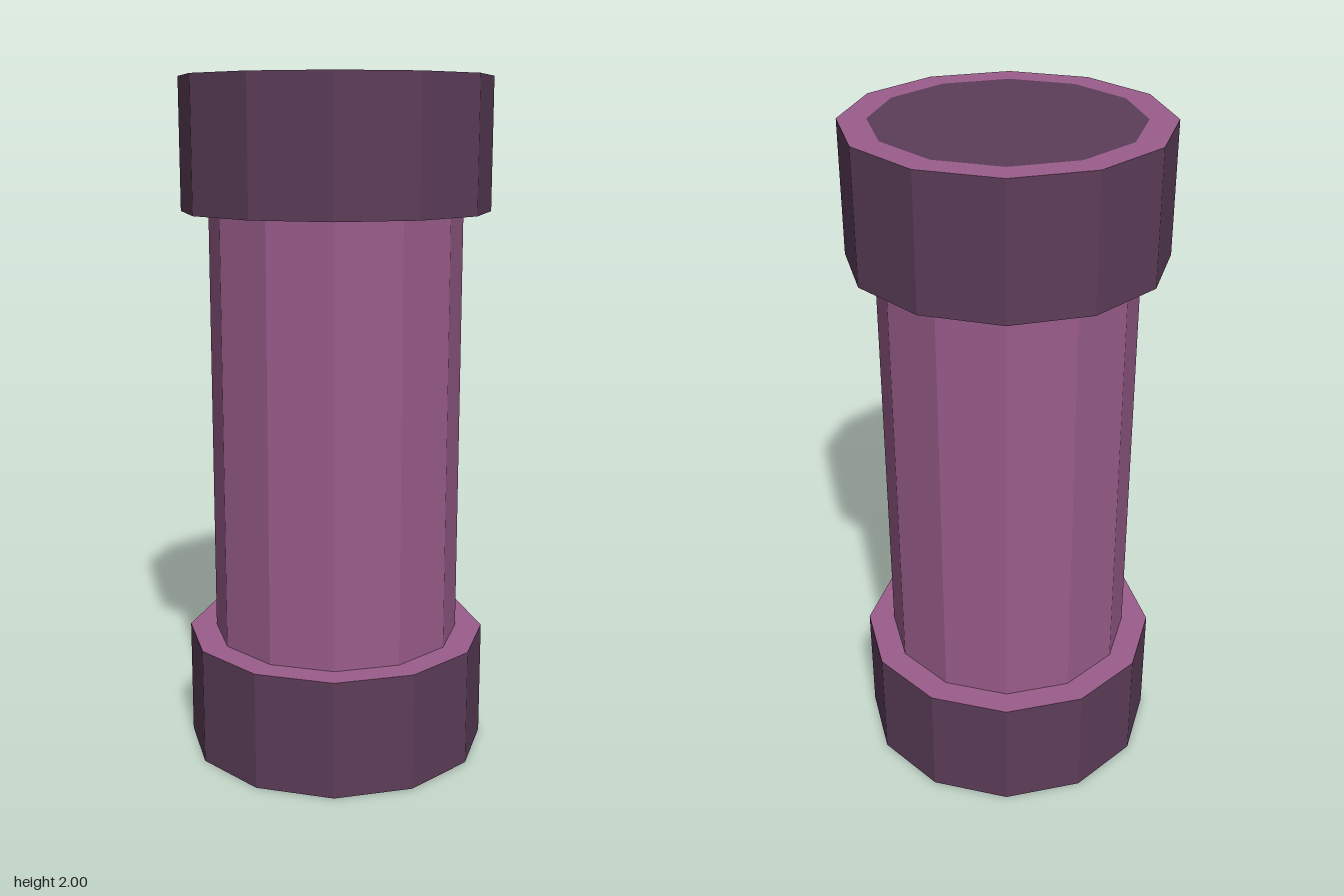
import * as THREE from 'three';

const SIDES = 12, R_BODY = 0.37, R_COLLAR = 0.45;

export function createModel() {
  const light = new THREE.MeshStandardMaterial({ name: 'mauve', color: 0x9a5d8b, flatShading: true });
  const dark = new THREE.MeshStandardMaterial({ name: 'darkPlum', color: 0x5c3d59, flatShading: true });
  const model = new THREE.Group();
  model.name = 'pillar';

  const add = (parent, name, geometry, material, y) => {
    const mesh = new THREE.Mesh(geometry, material);
    mesh.name = name;
    mesh.position.y = y;
    parent.add(mesh);
  };
  // Open twelve-sided wall between two heights
  const wall = (parent, name, radius, y0, y1, material) =>
    add(parent, name, new THREE.CylinderGeometry(radius, radius, y1 - y0, SIDES, 1, true), material, (y0 + y1) / 2);
  // Flat face turned up (dir 1) or down (dir -1)
  const flat = (geometry, dir) => geometry.rotateX(-dir * Math.PI / 2);

  // Shaft between the collars
  wall(model, 'shaft', R_BODY, 0.35, 1.62, light);

  // Collars: dark wall, light rims above and below, dark disc on the outer end
  for (const [name, y0, y1, end] of [['lowerCollar', 0, 0.35, -1], ['upperCollar', 1.62, 2, 1]]) {
    const collar = new THREE.Group();
    collar.name = name;
    wall(collar, 'collarWall', R_COLLAR, y0, y1, dark);
    for (const dir of [-1, 1]) {
      add(collar, dir > 0 ? 'topRim' : 'bottomRim',
        flat(new THREE.RingGeometry(R_BODY, R_COLLAR, SIDES), dir), light, dir > 0 ? y1 : y0);
    }
    add(collar, 'endDisc', flat(new THREE.CircleGeometry(R_BODY, SIDES), end), dark, end > 0 ? y1 : y0);
    model.add(collar);
  }
  return model;
}
